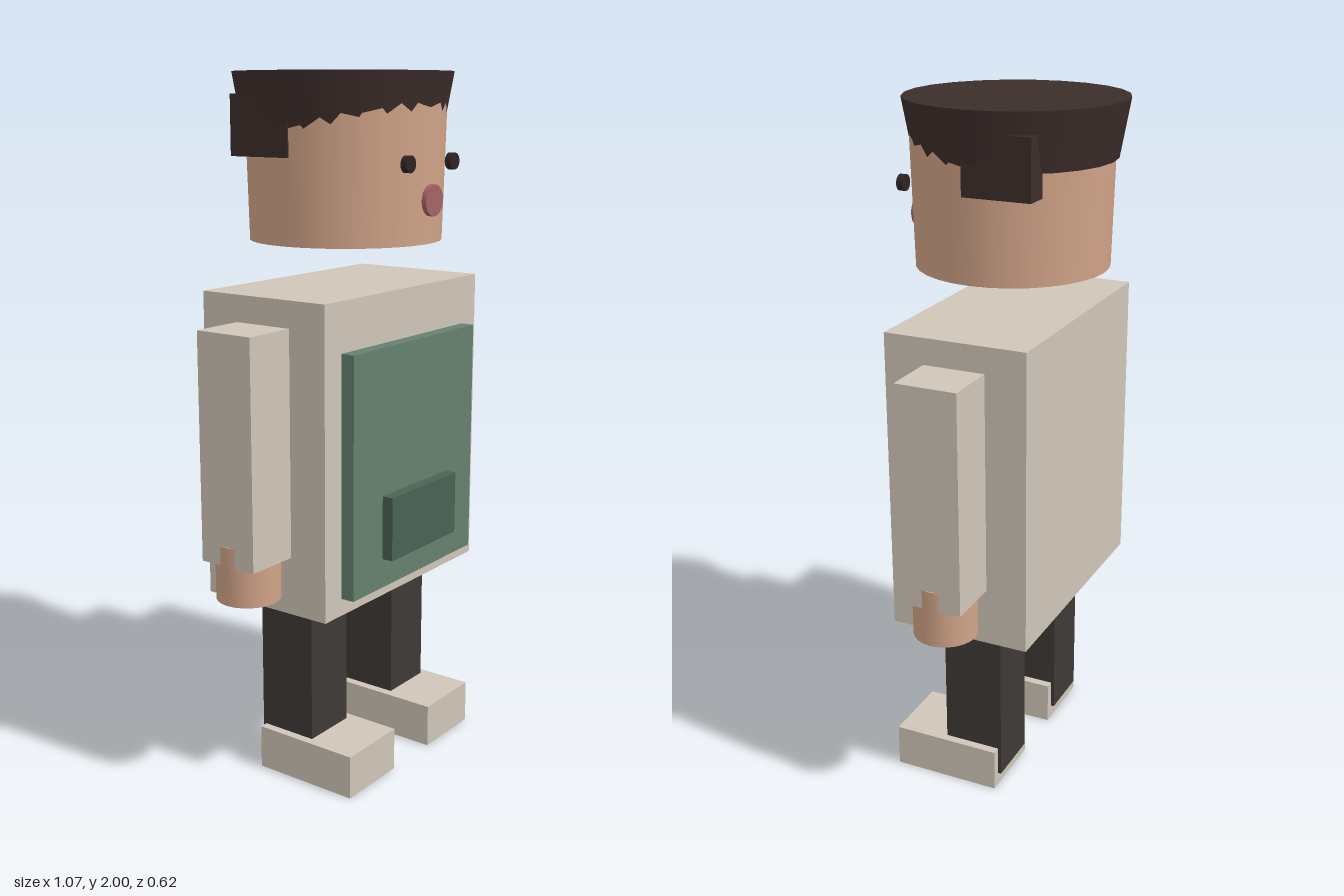
import * as THREE from 'three';

const mat = (color) => new THREE.MeshStandardMaterial({ color });

export function createModel() {
  const model = new THREE.Group();
  const cloth = mat(0xcfc6b8), skin = mat(0xd0a387), hair = mat(0x3c2d2a);
  const trousers = mat(0x3e3936), green = mat(0x66806f), darkGreen = mat(0x4a6254);
  const eyeMat = mat(0x2e2422), noseMat = mat(0xa56464);

  const add = (name, geometry, material, x, y, z) => {
    const mesh = new THREE.Mesh(geometry, material);
    mesh.name = name;
    mesh.position.set(x, y, z);
    model.add(mesh);
    return mesh;
  };
  // Box given by its lower and upper limits
  const box = (name, material, [x0, x1], [y0, y1], [z0, z1]) =>
    add(name, new THREE.BoxGeometry(Math.abs(x1 - x0), y1 - y0, z1 - z0), material,
      (x0 + x1) / 2, (y0 + y1) / 2, (z0 + z1) / 2);
  // Upright cylinder or cone section
  const drum = (name, material, rTop, rBottom, [y0, y1], x, z, sides) =>
    add(name, new THREE.CylinderGeometry(rTop, rBottom, y1 - y0, sides), material, x, (y0 + y1) / 2, z);
  // Disc facing forward
  const disc = (name, material, r, x, y, [z0, z1]) => {
    const geometry = new THREE.CylinderGeometry(r, r, z1 - z0, 20).rotateX(Math.PI / 2);
    return add(name, geometry, material, x, y, (z0 + z1) / 2);
  };

  // Body and apron
  box('torso', cloth, [-0.373, 0.373], [0.54, 1.415], [-0.2, 0.217]);
  box('apron', green, [-0.3, 0.3], [0.59, 1.275], [0.217, 0.258]);
  box('apronPocket', darkGreen, [-0.163, 0.163], [0.675, 0.858], [0.25, 0.291]);

  // Head, hair cap and nose
  drum('head', skin, 0.284, 0.272, [1.54, 1.99], 0, 0.01, 32);
  drum('hairCap', hair, 0.309, 0.28, [1.84, 2], 0, 0, 24);
  disc('nose', noseMat, 0.043, 0, 1.66, [0.294, 0.308]);

  // Mirrored parts
  for (const [side, s] of [['left', 1], ['right', -1]]) {
    box(side + 'Arm', cloth, [s * 0.353, s * 0.533], [0.705, 1.34], [-0.08, 0.1]);
    drum(side + 'Hand', skin, 0.09, 0.09, [0.595, 0.76], s * 0.447, 0.01, 24);
    box(side + 'Leg', trousers, [s * 0.116, s * 0.285], [0.04, 0.55], [-0.08, 0.1]);
    box(side + 'Shoe', cloth, [s * 0.09, s * 0.31], [0, 0.127], [-0.07, 0.255]);
    box(side + 'HairTuft', hair, [s * 0.18, s * 0.282], [1.775, 1.94], [-0.17, 0.027]);
    disc(side + 'Eye', eyeMat, 0.023, s * 0.108, 1.76, [0.284, 0.303]);
  }
  return model;
}
